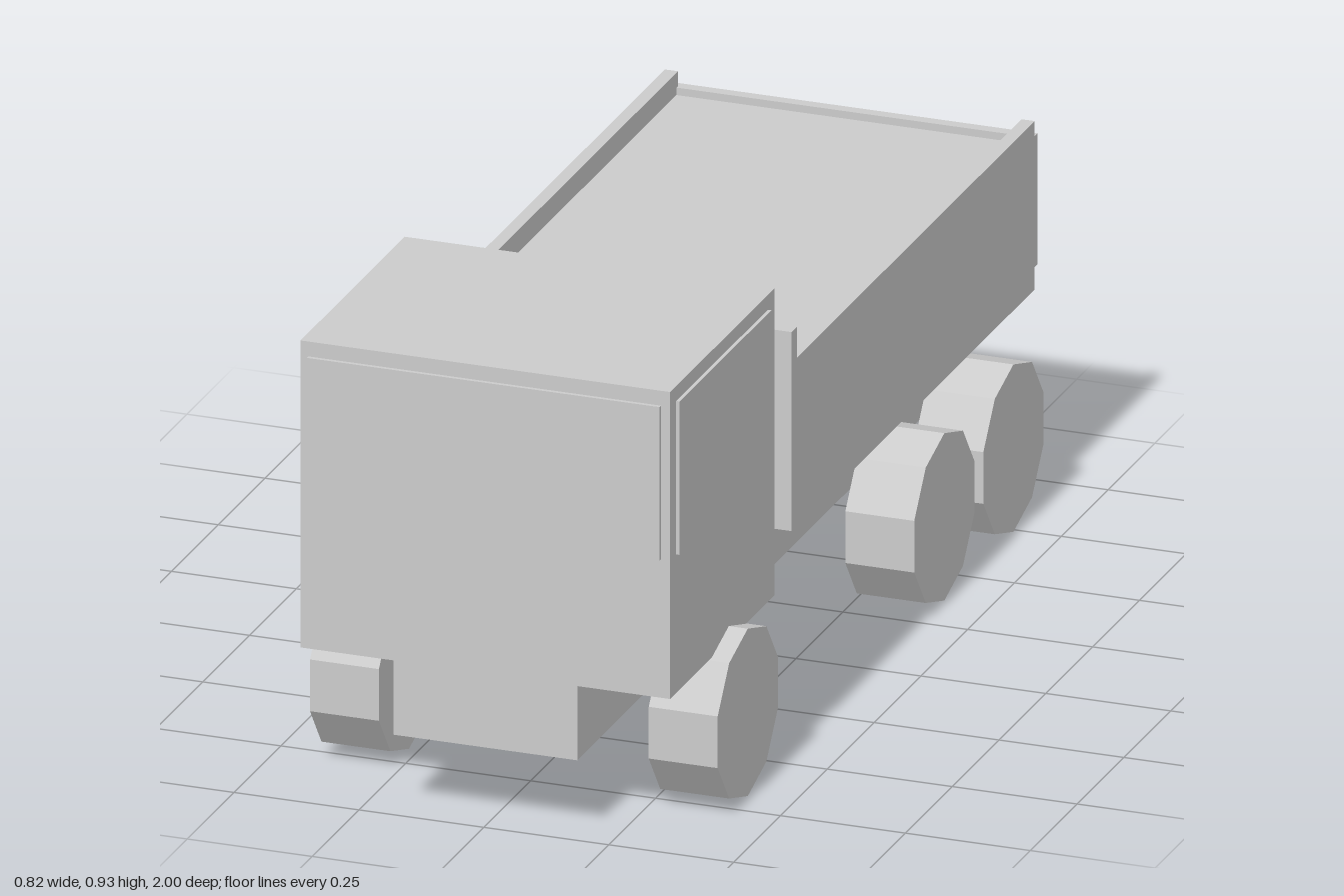
import * as THREE from 'three';

const material = new THREE.MeshStandardMaterial({ color: 0xcccccc, flatShading: true });

export function createModel() {
  const truck = new THREE.Group();
  truck.name = 'tipperTruck';

  // Box given by its limits along each axis
  function box(name, [x0, x1], [y0, y1], [z0, z1], parent = truck) {
    const mesh = new THREE.Mesh(new THREE.BoxGeometry(x1 - x0, y1 - y0, z1 - z0), material);
    mesh.position.set((x0 + x1) / 2, (y0 + y1) / 2, (z0 + z1) / 2);
    mesh.name = name;
    parent.add(mesh);
  }

  // Same box on both sides of the truck
  function pair(name, [x0, x1], y, z, parent = truck) {
    box(name + 'Left', [x0, x1], y, z, parent);
    box(name + 'Right', [-x1, -x0], y, z, parent);
  }

  // Chassis with the two rails carrying the bed
  box('chassis', [-0.184, 0.184], [0.15, 0.33], [-0.982, 0.992]);
  pair('frontRail', [0.093, 0.184], [0.33, 0.38], [0.315, 0.5]);
  pair('bedRail', [0.093, 0.184], [0.33, 0.395], [-0.905, 0.315]);
  pair('rearHinge', [0.093, 0.188], [0.305, 0.41], [-1, -0.955]);

  // Cab with raised windscreen and one side window
  const cab = new THREE.Group();
  cab.name = 'cab';
  truck.add(cab);
  box('cabBody', [-0.37, 0.37], [0.3, 0.92], [0.435, 0.992], cab);
  box('windscreen', [-0.354, 0.352], [0.58, 0.89], [0.98, 1], cab);
  box('sideWindow', [0.36, 0.377], [0.58, 0.89], [0.47, 0.96], cab);

  // Bed: floor, load, side walls, headboard and tailgate
  const bed = new THREE.Group();
  bed.name = 'bed';
  truck.add(bed);
  box('floor', [-0.345, 0.345], [0.395, 0.44], [-0.955, 0.316], bed);
  box('load', [-0.345, 0.345], [0.44, 0.69], [-0.947, 0.316], bed);
  pair('sideWall', [0.344, 0.37], [0.395, 0.735], [-0.955, 0.316], bed);
  box('headboard', [-0.37, 0.37], [0.395, 0.797], [0.315, 0.343], bed);
  box('tailgate', [-0.37, 0.37], [0.44, 0.705], [-0.97, -0.947], bed);

  // Ten-sided wheels on three axles, resting on a flat facet
  const radius = 0.169;
  const wheelGeometry = new THREE.CylinderGeometry(radius, radius, 0.138, 10);
  wheelGeometry.rotateY(Math.PI / 2);
  wheelGeometry.rotateZ(Math.PI / 2);
  const axles = { front: 0.679, middle: -0.371, rear: -0.74 };
  for (const [axle, z] of Object.entries(axles)) {
    for (const side of [1, -1]) {
      const wheel = new THREE.Mesh(wheelGeometry, material);
      wheel.name = axle + (side > 0 ? 'LeftWheel' : 'RightWheel');
      wheel.position.set(side * 0.339, radius * Math.cos(Math.PI / 10), z);
      truck.add(wheel);
    }
  }

  return truck;
}
